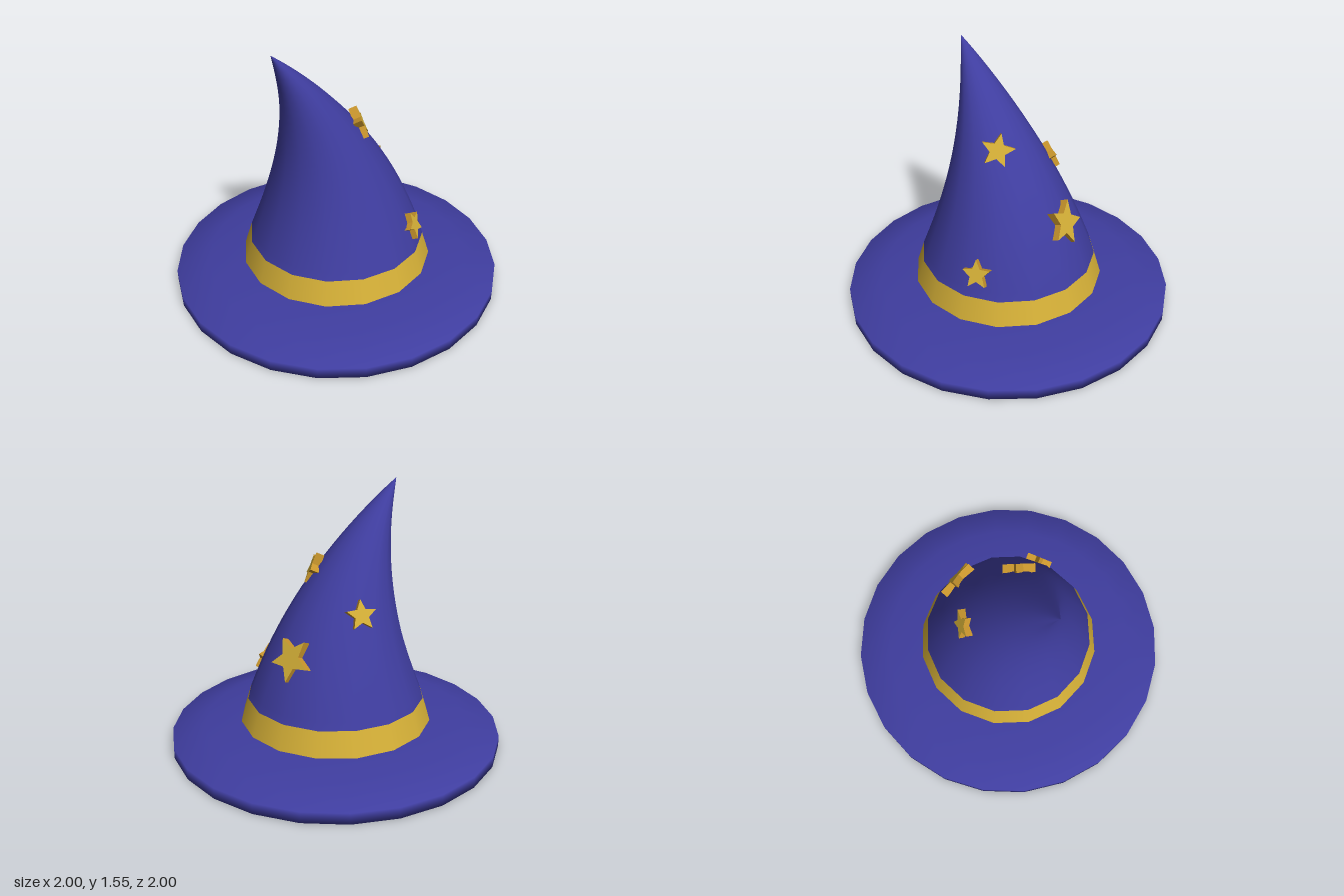
import * as THREE from 'three';

const SIDES = 16;
const BASE_Y = 0.28, TIP_Y = 1.55, BASE_R = 0.535, TIP_X = -0.435;

// Crown cross-section at a height: an almost straight cone whose centre curls sideways
function ringAt(y) {
  const u = (y - BASE_Y) / (TIP_Y - BASE_Y);
  return { x: TIP_X * u ** 2.4, radius: BASE_R * Math.max(1 - u, 0.001) ** 0.93 };
}

// Bent cone: round cross-sections stacked from the band to the tip
function crownGeometry(steps) {
  const pos = [], index = [];
  for (let i = 0; i <= steps; i++) {
    const y = THREE.MathUtils.lerp(BASE_Y, TIP_Y, i / steps);
    const { x, radius } = ringAt(y);
    for (let j = 0; j < SIDES; j++) {
      const t = (j / SIDES) * Math.PI * 2;
      pos.push(x + radius * Math.sin(t), y, radius * Math.cos(t));
      if (i === steps) continue;
      const a = i * SIDES + j, b = i * SIDES + ((j + 1) % SIDES);
      index.push(a, b, b + SIDES, a, b + SIDES, a + SIDES);
    }
  }
  const g = new THREE.BufferGeometry();
  g.setAttribute('position', new THREE.Float32BufferAttribute(pos, 3));
  g.setIndex(index);
  g.computeVertexNormals();
  return g;
}

function starGeometry(radius) {
  const shape = new THREE.Shape();
  for (let i = 0; i < 10; i++) {
    const r = i % 2 ? radius * 0.46 : radius;
    const a = Math.PI / 2 + (i * Math.PI) / 5;
    shape[i ? 'lineTo' : 'moveTo'](r * Math.cos(a), r * Math.sin(a));
  }
  shape.closePath();
  return new THREE.ExtrudeGeometry(shape, { depth: 0.05, bevelEnabled: false }).translate(0, 0, -0.02);
}

export function createModel() {
  const group = new THREE.Group();
  const material = (name, color) => {
    const m = new THREE.MeshStandardMaterial({ color });
    m.name = name;
    return m;
  };
  const blue = material('blueFelt', 0x3f3d9f);
  const gold = material('gold', 0xd4af37);
  const amber = material('starEdge', 0xc8952c);
  const add = (name, geometry, mat) => {
    const mesh = new THREE.Mesh(geometry, mat);
    mesh.name = name;
    group.add(mesh);
    return mesh;
  };

  // Brim: profile from the inner underside, around the rim, to the band
  const profile = [
    [0.42, 0.128], [0.48, 0.105], [0.58, 0.05], [0.75, 0.02], [1, 0],
    [1, 0.065], [0.8, 0.112], [0.6, 0.135], [0.5, 0.137],
  ].map(([r, y]) => new THREE.Vector2(r, y));
  add('brim', new THREE.LatheGeometry(profile, 24), blue);

  // Crown and band
  add('crown', crownGeometry(28), blue);
  add('band', new THREE.CylinderGeometry(BASE_R, 0.582, 0.147, SIDES, 1, true).translate(0, 0.2065, 0), gold);

  // Short plug under the crown, closed by a gold disc
  add('bottomPlug', new THREE.CylinderGeometry(0.42, 0.4, 0.043, 24, 1, true).translate(0, 0.1065, 0), blue);
  add('bottomDisc', new THREE.CircleGeometry(0.4, 24).rotateX(Math.PI / 2).translate(0, 0.085, 0), gold);

  // Stars: height, horizontal direction (x, z), radius, roll in degrees
  const stars = [
    [0.42, 0.5, 0.86, 0.087, 8],
    [0.615, 0.96, -0.28, 0.133, 40],
    [1.045, 0.83, 0.55, 0.1, -14],
    [0.86, 0.31, -0.95, 0.09, 0],
  ];
  for (const [y, dx, dz, radius, roll] of stars) {
    const ring = ringAt(y);
    const dir = new THREE.Vector2(dx, dz).normalize();
    const star = add('star', starGeometry(radius), [gold, amber]);
    star.position.set(ring.x + ring.radius * dir.x, y, ring.radius * dir.y);
    star.lookAt(star.position.clone().add(new THREE.Vector3(dir.x, 0.42, dir.y)));
    star.rotateZ(THREE.MathUtils.degToRad(roll));
  }
  return group;
}
